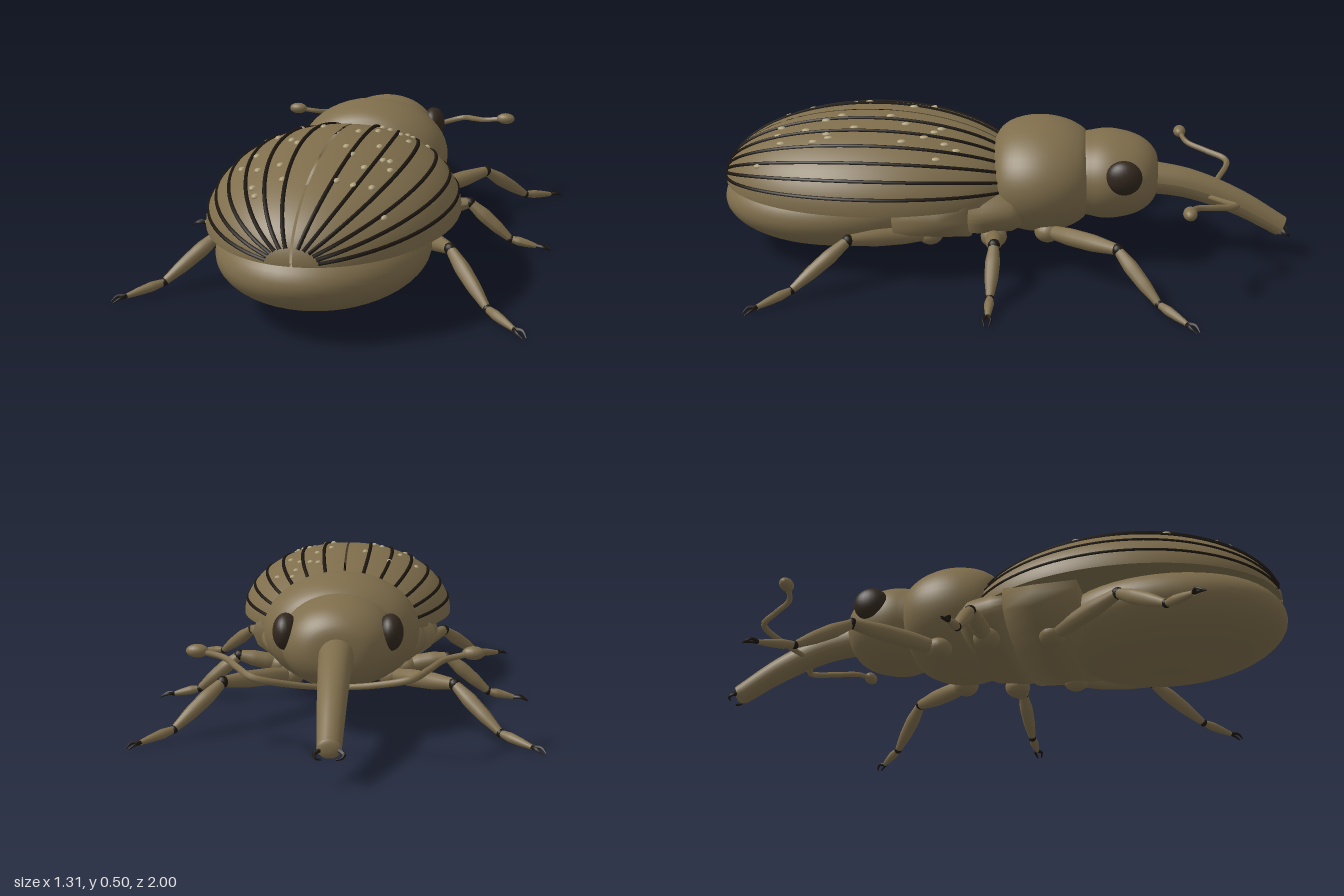
import * as THREE from 'three';

const mat = (name, color, side = THREE.FrontSide) => {
  const m = new THREE.MeshStandardMaterial({ color, side });
  m.name = name;
  return m;
};
const V = (a) => new THREE.Vector3(...a);

export function createModel() {
  const root = new THREE.Group();
  root.name = 'beetle';
  const shell = mat('olive brown', 0x7f6e4c, THREE.DoubleSide);
  const dark = mat('dark groove', 0x1c1610);
  const eyeMat = mat('eye brown', 0x32281e);
  const pale = mat('pale scales', 0xb0a27c);

  const add = (name, geo, material, parent = root) => {
    const m = new THREE.Mesh(geo, material);
    m.name = name;
    parent.add(m);
    return m;
  };
  const ball = (name, pos, radii, material, parent, seg = 32) => {
    const m = add(name, new THREE.SphereGeometry(1, seg, Math.ceil(seg * 0.7)), material, parent);
    m.position.set(...pos);
    m.scale.set(...radii);
    return m;
  };
  // Body section turned around the z axis; profile is [radius, z]
  const turned = (name, profile, y, sx, sy, smooth = true, seg = 48) => {
    let pts = profile.map((p) => new THREE.Vector2(...p));
    if (smooth) pts = new THREE.SplineCurve(pts).getPoints(32).map((p) => p.setX(Math.max(0, p.x)));
    const g = new THREE.LatheGeometry(pts, seg);
    g.rotateX(Math.PI / 2).scale(sx, sy, 1).translate(0, y, 0);
    return add(name, g, shell);
  };
  // Tube whose radius follows a list of values along its length
  const taper = (name, points, radii, material, parent, steps = 16, sides = 12) => {
    const curve = points.length === 2
      ? new THREE.LineCurve3(V(points[0]), V(points[1]))
      : new THREE.CatmullRomCurve3(points.map(V));
    const g = new THREE.TubeGeometry(curve, steps, 1, sides);
    const p = g.attributes.position, v = new THREE.Vector3();
    for (let i = 0; i <= steps; i++) {
      const c = curve.getPointAt(i / steps);
      const t = (i / steps) * (radii.length - 1);
      const k = Math.min(Math.floor(t), radii.length - 2);
      const r = THREE.MathUtils.lerp(radii[k], radii[k + 1], t - k);
      for (let j = 0; j <= sides; j++) {
        const n = i * (sides + 1) + j;
        v.fromBufferAttribute(p, n).sub(c).multiplyScalar(r).add(c);
        p.setXYZ(n, v.x, v.y, v.z);
      }
    }
    g.computeVertexNormals();
    return add(name, g, material, parent);
  };

  // Body
  ball('abdomen', [0, 0.185, 0.6], [0.33, 0.155, 0.4], shell, root, 48);
  turned('rearThorax', [[0, 0.1], [0.97, 0.1], [1, 0.2], [1, 0.35], [0, 0.35]], 0.215, 0.34, 0.13, false, 20);
  turned('middleThorax', [[0, -0.1], [0.75, -0.085], [0.92, -0.04], [1, 0.05], [1, 0.12], [0, 0.12]], 0.21, 0.295, 0.115, false);
  turned('pronotum', [[0, -0.3], [0.62, -0.295], [0.88, -0.24], [1, -0.15], [0.97, -0.06], [0.8, 0.01], [0.45, 0.045], [0, 0.055]],
    0.283, 0.265, 0.195);
  turned('head', [[0, -0.535], [0.5, -0.525], [0.84, -0.47], [1, -0.38], [0.97, -0.31], [0.8, -0.26], [0, -0.25]],
    0.288, 0.188, 0.152);

  // Wing cases, split at the back
  const mid = [0, 0.25, 0.45], rad = [0.391, 0.247, 0.54];
  const onShell = (a, t, lift = 0) => [
    mid[0] + (rad[0] + lift) * Math.cos(a) * Math.sin(t),
    mid[1] + (rad[1] + lift) * Math.sin(a) * Math.sin(t),
    mid[2] + rad[2] * Math.cos(t),
  ];
  for (const s of [1, -1]) {
    const side = s > 0 ? 'left' : 'right';
    const g = new THREE.SphereGeometry(1, 24, 40, s > 0 ? Math.PI : Math.PI * 1.5, Math.PI / 2);
    g.rotateX(Math.PI / 2).scale(...rad).translate(s * 0.004, mid[1], mid[2]);
    add(side + 'WingCase', g, shell);
    const under = new THREE.CircleGeometry(1, 32, s > 0 ? -Math.PI / 2 : Math.PI / 2, Math.PI);
    under.rotateX(Math.PI / 2).scale(rad[0], 1, rad[2]).translate(s * 0.004, mid[1], mid[2]);
    add(side + 'WingCaseUnderside', under, shell);

    // Grooves running along each case
    for (let k = 1; k <= 6; k++) {
      const pts = [];
      for (let i = 0; i <= 14; i++) {
        const p = onShell((k * Math.PI) / 14, 0.2 + (i / 14) * 2.37, 0.002);
        pts.push(V([s * p[0], p[1], p[2]]));
      }
      add(side + 'Groove', new THREE.TubeGeometry(new THREE.CatmullRomCurve3(pts), 40, 0.0065, 6), dark);
    }
  }

  // Pale scales scattered over the wing cases, as x, z
  const scales = [
    [0.1, 0.21], [0.13, 0.23], [0.19, 0.15], [0.18, 0.19], [0.25, 0.21], [0.17, 0.26], [0.21, 0.33], [0.11, 0.33],
    [0.06, 0.39], [0.15, 0.5], [0.06, 0.56], [0.09, 0.61], [0.18, 0.59], [0.2, 0.58], [0.14, 0.67], [0.21, 0.63],
    [0.08, 0.77], [0.13, 0.77], [0.18, 0.75], [0.23, 0.82], [-0.16, 0.27], [-0.07, 0.33], [-0.26, 0.34], [-0.2, 0.41],
    [-0.13, 0.5], [-0.1, 0.54], [-0.22, 0.58], [-0.25, 0.64], [-0.18, 0.7], [-0.11, 0.7], [-0.17, 0.79], [-0.15, 0.83], [-0.08, 0.78],
  ];
  for (const [x, z] of scales) {
    const y = mid[1] + rad[1] * Math.sqrt(1 - (x / rad[0]) ** 2 - ((z - mid[2]) / rad[2]) ** 2);
    ball('scale', [x, y, z], [0.011, 0.008, 0.016], pale, root, 8);
  }

  // Snout
  taper('snout', [[0, 0.28, -0.48], [0, 0.257, -0.64], [0, 0.195, -0.81], [0, 0.108, -0.97]],
    [0.058, 0.051, 0.044, 0.036], shell, root, 24, 20);
  ball('snoutTip', [0, 0.108, -0.968], [0.036, 0.03, 0.012], shell, root, 20);

  // Leg joints: hip, knee, ankle, toe
  const legs = {
    front: [[0.17, 0.13, -0.16], [0.375, 0.158, -0.4], [0.515, 0.035, -0.535], [0.605, 0.015, -0.62]],
    middle: [[0.22, 0.125, 0.02], [0.37, 0.158, 0.005], [0.515, 0.035, 0.005], [0.605, 0.015, 0.003]],
    hind: [[0.2, 0.12, 0.24], [0.375, 0.158, 0.49], [0.515, 0.035, 0.655], [0.605, 0.015, 0.745]],
  };
  for (const s of [1, -1]) {
    const side = s > 0 ? 'left' : 'right';
    const m = (p) => [s * p[0], p[1], p[2]];

    ball(side + 'Eye', m([0.168, 0.33, -0.415]), [0.042, 0.06, 0.062], eyeMat, root, 24);
    taper(side + 'Mandible', [[0.024, 0.105, -0.968], [0.042, 0.095, -0.985], [0.036, 0.087, -0.997], [0.02, 0.083, -0.998]].map(m),
      [0.008, 0.006, 0.002], dark, root, 10, 6);

    // Elbowed feeler with a club at the end
    const feeler = [[0.03, 0.22, -0.71], [0.12, 0.238, -0.755], [0.23, 0.265, -0.788], [0.285, 0.28, -0.72], [0.335, 0.295, -0.65], [0.42, 0.31, -0.625]];
    taper(side + 'Feeler', feeler.map(m), [0.009, 0.01, 0.011, 0.01, 0.009], shell, root, 40, 8);
    ball(side + 'FeelerClub', m([0.42, 0.31, -0.625]), [0.035, 0.021, 0.023], shell, root, 16);

    for (const [key, joints] of Object.entries(legs)) {
      const leg = new THREE.Group();
      leg.name = `${side}${key[0].toUpperCase()}${key.slice(1)}Leg`;
      root.add(leg);
      const [hip, knee, ankle, toe] = joints.map(m);
      ball('hip', hip, [0.045, 0.038, 0.045], shell, leg, 20);
      taper('thigh', [hip, knee], [0.022, 0.03, 0.029, 0.018], shell, leg);
      ball('knee', knee, [0.02, 0.02, 0.02], dark, leg, 12);
      taper('shin', [knee, ankle], [0.016, 0.025, 0.022, 0.012], shell, leg);
      ball('ankle', ankle, [0.014, 0.014, 0.014], dark, leg, 12);
      taper('foot', [ankle, toe], [0.011, 0.016, 0.013, 0.008], shell, leg);
      // Pair of claws spread to either side of the foot
      const dir = V(toe).sub(V(ankle)).setY(0).normalize();
      const across = new THREE.Vector3(-dir.z, 0, dir.x);
      for (const c of [1, -1]) {
        const bend = V(toe).addScaledVector(dir, 0.025).addScaledVector(across, c * 0.012).setY(0.016);
        const tip = V(toe).addScaledVector(dir, 0.05).addScaledVector(across, c * 0.007).setY(0.003);
        taper('claw', [toe, bend.toArray(), tip.toArray()], [0.007, 0.005, 0.002], dark, leg, 8, 6);
      }
    }
  }
  return root;
}
